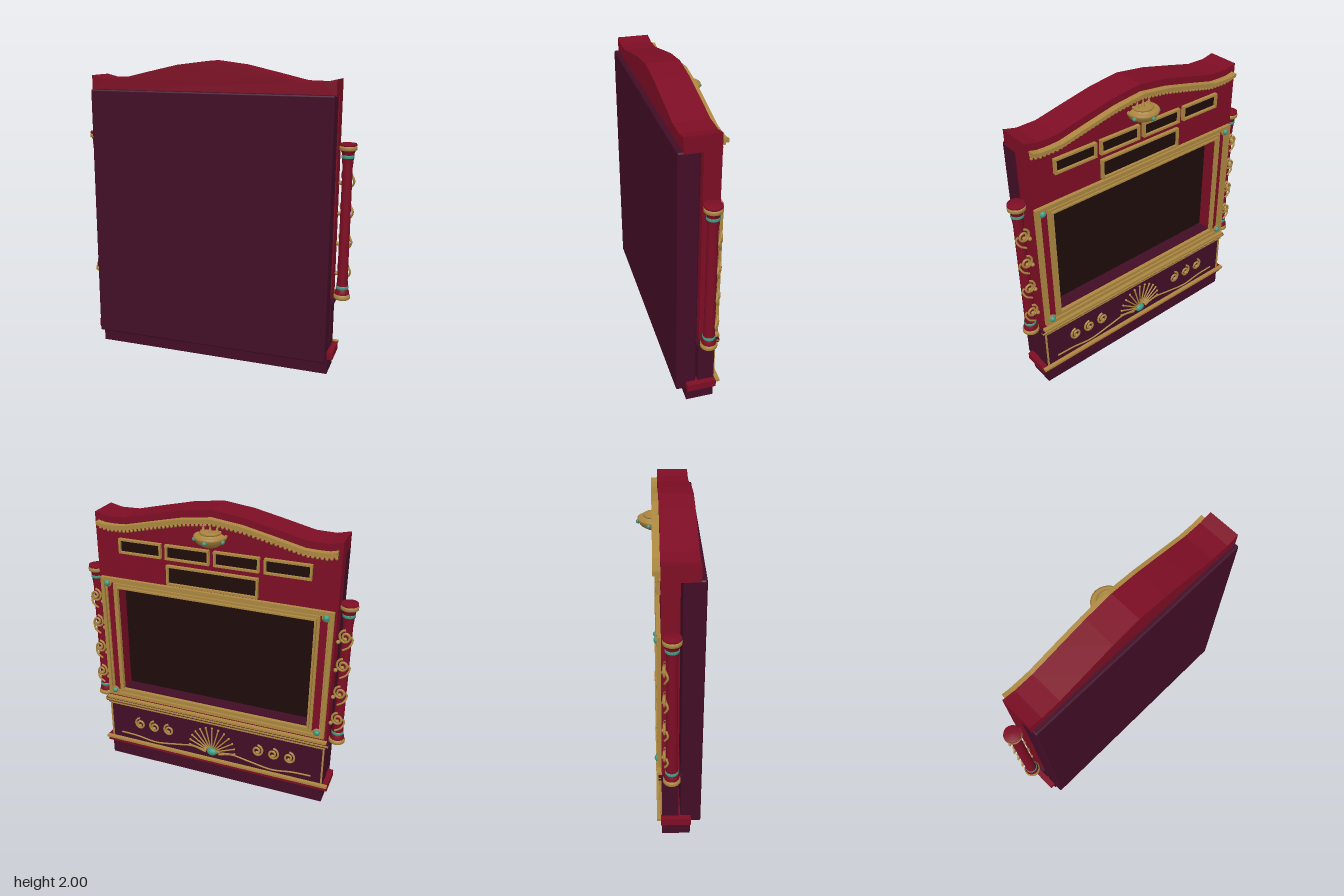
import * as THREE from 'three';
import { RoundedBoxGeometry } from 'three/addons/geometries/RoundedBoxGeometry.js';

const mat = (name, color) => {
  const m = new THREE.MeshStandardMaterial({ color });
  m.name = name;
  return m;
};

export function createModel() {
  const root = new THREE.Group();
  root.name = 'ornateCabinetFront';
  const red = mat('crimson', 0x7d0d24);
  const plum = mat('dark plum', 0x420d26);
  const gold = mat('antique gold', 0xac8740);
  const teal = mat('teal', 0x3f9a80);
  const dark = mat('dark glass', 0x1e0c0a);

  const add = (name, geo, material, x = 0, y = 0, z = 0, parent = root) => {
    const m = new THREE.Mesh(geo, material);
    m.name = name;
    m.position.set(x, y, z);
    parent.add(m);
    return m;
  };
  // Box given by its limits on each axis
  const box = (name, material, x0, x1, y0, y1, z0, z1) =>
    add(name, new THREE.BoxGeometry(x1 - x0, y1 - y0, z1 - z0), material,
      (x0 + x1) / 2, (y0 + y1) / 2, (z0 + z1) / 2);
  const extrude = (name, shape, material, z0, z1) =>
    add(name, new THREE.ExtrudeGeometry(shape, { depth: z1 - z0, bevelEnabled: false }), material, 0, 0, z0);
  const rectPoints = (x0, x1, y0, y1) =>
    [[x0, y0], [x1, y0], [x1, y1], [x0, y1]].map(p => new THREE.Vector2(...p));
  // Rectangular moulding, w wide, measured inwards from its outer limits
  const frame = (name, material, x0, x1, y0, y1, w, z0, z1) => {
    const s = new THREE.Shape(rectPoints(x0, x1, y0, y1));
    s.holes.push(new THREE.Path(rectPoints(x0 + w, x1 - w, y0 + w, y1 - w)));
    return extrude(name, s, material, z0, z1);
  };
  const tube = (name, pts, r, material, parent = root, seg = 28) =>
    add(name, new THREE.TubeGeometry(new THREE.CatmullRomCurve3(pts), seg, r, 6), material, 0, 0, 0, parent);
  // Scroll ornament: a spiral ending in a bead
  const scroll = (name, x, y, z, r, dir, thick) => {
    const g = new THREE.Group();
    g.name = name;
    const pts = [];
    for (let i = 0; i <= 16; i++) {
      const t = i / 16, a = Math.PI * (0.5 + 3 * t), q = r * (1 - 0.72 * t);
      pts.push(new THREE.Vector3(dir * q * Math.cos(a), q * 1.1 * Math.sin(a), -0.008 * t));
    }
    tube('scrollStem', pts, thick, gold, g, 36);
    const end = pts[16];
    add('scrollBead', new THREE.SphereGeometry(thick * 1.6, 8, 6), gold, end.x, end.y, end.z, g);
    g.position.set(x, y, z);
    root.add(g);
  };

  // Wavy crest outline, from the middle to one end
  const crest = [[0, 2], [0.2, 1.975], [0.4, 1.93], [0.6, 1.883], [0.73, 1.88], [0.815, 1.9]];
  const outline = [...crest.slice(1).reverse().map(([x, y]) => [-x, y]), ...crest];
  const crestY = x => {
    const a = Math.abs(x);
    const i = Math.max(1, crest.findIndex(p => p[0] >= a));
    const [p, q] = [crest[i - 1], crest[i]];
    return p[1] + (q[1] - p[1]) * (a - p[0]) / (q[0] - p[0]);
  };

  // Upper facade with the screen opening, and the deeper header
  const facade = new THREE.Shape(rectPoints(-0.815, 0.815, 0.5, 1.8));
  facade.holes.push(new THREE.Path(rectPoints(-0.68, 0.68, 0.6, 1.39)));
  extrude('facade', facade, red, -0.055, 0.05);
  const head = new THREE.Shape();
  head.moveTo(0.815, 1.8);
  head.lineTo(-0.815, 1.8);
  outline.forEach(([x, y]) => head.lineTo(x, y));
  extrude('header', head, red, -0.055, 0.16);

  // Lower cabinet, base and rear panel
  box('lowerCabinet', plum, -0.815, 0.815, 0.1, 0.5, -0.055, 0.05);
  box('base', plum, -0.815, 0.815, 0, 0.105, -0.055, 0.125);
  box('baseLedge', red, -0.85, 0.85, 0.105, 0.155, -0.062, 0.128);
  add('rearPanel', new RoundedBoxGeometry(1.625, 1.71, 0.13, 2, 0.012), plum, 0, 0.955, 0.127);

  // Screen and recess floor
  box('screen', dark, -0.69, 0.69, 0.59, 1.4, 0.038, 0.048);
  box('recessFloor', plum, -0.68, 0.68, 0.6, 0.607, -0.05, 0.038);

  // Screen mouldings with corner bosses
  frame('outerScreenFrame', gold, -0.8, 0.8, 0.54, 1.46, 0.024, -0.08, -0.054);
  frame('outerScreenBead', gold, -0.772, 0.772, 0.566, 1.434, 0.01, -0.068, -0.054);
  frame('innerScreenFrame', gold, -0.712, 0.712, 0.572, 1.42, 0.016, -0.072, -0.054);
  frame('innerScreenBead', gold, -0.692, 0.692, 0.59, 1.4, 0.012, -0.08, -0.054);
  for (const x of [-0.752, 0.752]) for (const y of [0.58, 1.42]) {
    add('cornerBoss', new THREE.SphereGeometry(0.022, 12, 8), teal, x, y, -0.075);
    add('cornerRing', new THREE.TorusGeometry(0.024, 0.006, 6, 16), gold, x, y, -0.072);
  }

  // Sign windows above the screen
  const sign = (x, y, w, h) => {
    frame('signFrame', gold, x - w / 2, x + w / 2, y - h / 2, y + h / 2, 0.013, -0.08, -0.054);
    box('signGlass', dark, x - w / 2 + 0.01, x + w / 2 - 0.01, y - h / 2 + 0.01, y + h / 2 - 0.01, -0.062, -0.054);
  };
  for (const x of [-0.495, -0.165, 0.165, 0.495]) sign(x, 1.695, 0.3, 0.1);
  sign(0, 1.54, 0.62, 0.135);

  // Curved cornice and its row of beads
  const xs = [];
  for (let i = 0; i <= 32; i++) xs.push(-0.79 + i * 1.58 / 32);
  const cornice = (name, top, bottom, z0) => {
    const s = new THREE.Shape();
    xs.forEach((x, i) => s[i ? 'lineTo' : 'moveTo'](x, crestY(x) - top));
    [...xs].reverse().forEach(x => s.lineTo(x, crestY(x) - bottom));
    extrude(name, s, gold, z0, -0.054);
  };
  cornice('corniceBand', 0.045, 0.068, -0.098);
  cornice('corniceLowerBand', 0.068, 0.08, -0.08);
  for (let i = 0; i < 56; i++) {
    const x = -0.78 + i * 1.56 / 55;
    add('corniceBead', new THREE.SphereGeometry(0.011, 6, 5), gold, x, crestY(x) - 0.092, -0.06);
  }

  // Bowl-shaped medallion at the top centre
  const bowl = [[0.005, 1.775], [0.05, 1.783], [0.085, 1.805], [0.103, 1.835], [0.105, 1.85],
    [0.092, 1.856], [0.085, 1.848], [0.062, 1.86], [0.056, 1.873], [0.035, 1.873], [0, 1.865]];
  add('medallionBowl', new THREE.LatheGeometry(bowl.map(p => new THREE.Vector2(...p)), 28), gold, 0, 0, -0.08);
  add('medallionRing', new THREE.TorusGeometry(0.06, 0.009, 6, 20), gold, 0, 1.868, -0.08).rotation.x = Math.PI / 2;
  for (const a of [-1.2, 0, 1.2])
    add('medallionJewel', new THREE.SphereGeometry(0.014, 10, 8), teal,
      0.1 * Math.sin(a), 1.826, -0.08 - 0.1 * Math.cos(a));
  for (const x of [-0.045, 0, 0.045])
    add('medallionSpike', new THREE.ConeGeometry(0.014, 0.05, 8), gold, x, 1.895, -0.085);

  // Waist ledge and mouldings
  box('waistLedge', plum, -0.835, 0.835, 0.47, 0.5, -0.075, 0.075);
  box('waistUpperMoulding', gold, -0.82, 0.82, 0.5, 0.516, -0.084, -0.054);
  box('waistMiddleMoulding', gold, -0.836, 0.836, 0.48, 0.49, -0.082, -0.06);
  box('waistLowerMoulding', gold, -0.815, 0.815, 0.452, 0.466, -0.07, -0.054);
  box('baseMoulding', gold, -0.85, 0.85, 0.143, 0.16, -0.086, -0.06);
  for (const s of [-1, 1])
    box('panelSideMoulding', gold, s * 0.805 - 0.006, s * 0.805 + 0.006, 0.16, 0.455, -0.062, -0.054);

  // Lower panel: fan, scrolls and vines
  add('fanBoss', new THREE.SphereGeometry(0.04, 14, 10), teal, 0, 0.215, -0.06).scale.set(1, 0.75, 0.7);
  for (let i = 0; i < 13; i++) {
    const a = Math.PI * (0.04 + 0.92 * i / 12), c = Math.cos(a), s = Math.sin(a);
    const r = 0.17 + 0.03 * s;
    tube('fanRay', [0.04, 0.12, r].map((q, k) =>
      new THREE.Vector3(q * c, 0.215 + q * s, -0.064 - 0.006 * (1 - k / 2))), 0.0055, gold, root, 6);
    add('fanTip', new THREE.SphereGeometry(0.009, 6, 5), gold, r * c, 0.215 + r * s, -0.064);
  }
  for (const s of [-1, 1]) {
    for (const x of [0.34, 0.455, 0.57]) scroll('panelScroll', s * x, 0.315, -0.06, 0.042, -s, 0.008);
    tube('panelVine', [[0.05, 0.2], [0.15, 0.225], [0.28, 0.205], [0.45, 0.18], [0.6, 0.2], [0.73, 0.205]]
      .map(([x, y]) => new THREE.Vector3(s * x, y, -0.062)), 0.006, gold);
  }

  // Side columns, turned in coloured bands
  const bands = [
    ['columnFoot', gold, [[0, 0.49], [0.045, 0.49], [0.054, 0.498], [0.054, 0.515], [0.046, 0.525]]],
    ['columnLowerNeck', red, [[0.046, 0.525], [0.046, 0.54], [0.038, 0.56]]],
    ['columnLowerRing', teal, [[0.038, 0.56], [0.041, 0.565], [0.041, 0.577], [0.037, 0.582]]],
    ['columnShaft', red, [[0.037, 0.582], [0.034, 0.62], [0.032, 1.36], [0.037, 1.415]]],
    ['columnUpperRing', teal, [[0.037, 1.415], [0.041, 1.418], [0.041, 1.432], [0.038, 1.436]]],
    ['columnUpperNeck', red, [[0.038, 1.436], [0.04, 1.45], [0.047, 1.464]]],
    ['columnCapital', gold, [[0.047, 1.464], [0.055, 1.468], [0.056, 1.486], [0.05, 1.492]]],
    ['columnCap', red, [[0.05, 1.492], [0.054, 1.496], [0.052, 1.508], [0, 1.51]]],
  ];
  for (const s of [-1, 1]) {
    for (const [name, material, pts] of bands)
      add(name, new THREE.LatheGeometry(pts.map(p => new THREE.Vector2(...p)), 20), material, s * 0.873, 0, 0.005);
    for (const y of [0.65, 0.85, 1.05, 1.25]) {
      scroll('columnScroll', s * 0.872, y + 0.045, -0.036, 0.042, s, 0.008);
      tube('columnLeaf', [[0.9, 0.05, -0.03], [0.915, 0.02, -0.02], [0.9, -0.02, -0.035], [0.86, -0.05, -0.036]]
        .map(([x, dy, z]) => new THREE.Vector3(s * x, y + dy, z)), 0.007, gold, root, 12);
      add('columnBracketBead', new THREE.SphereGeometry(0.014, 8, 6), gold, s * 0.828, y, -0.03);
    }
  }
  return root;
}
